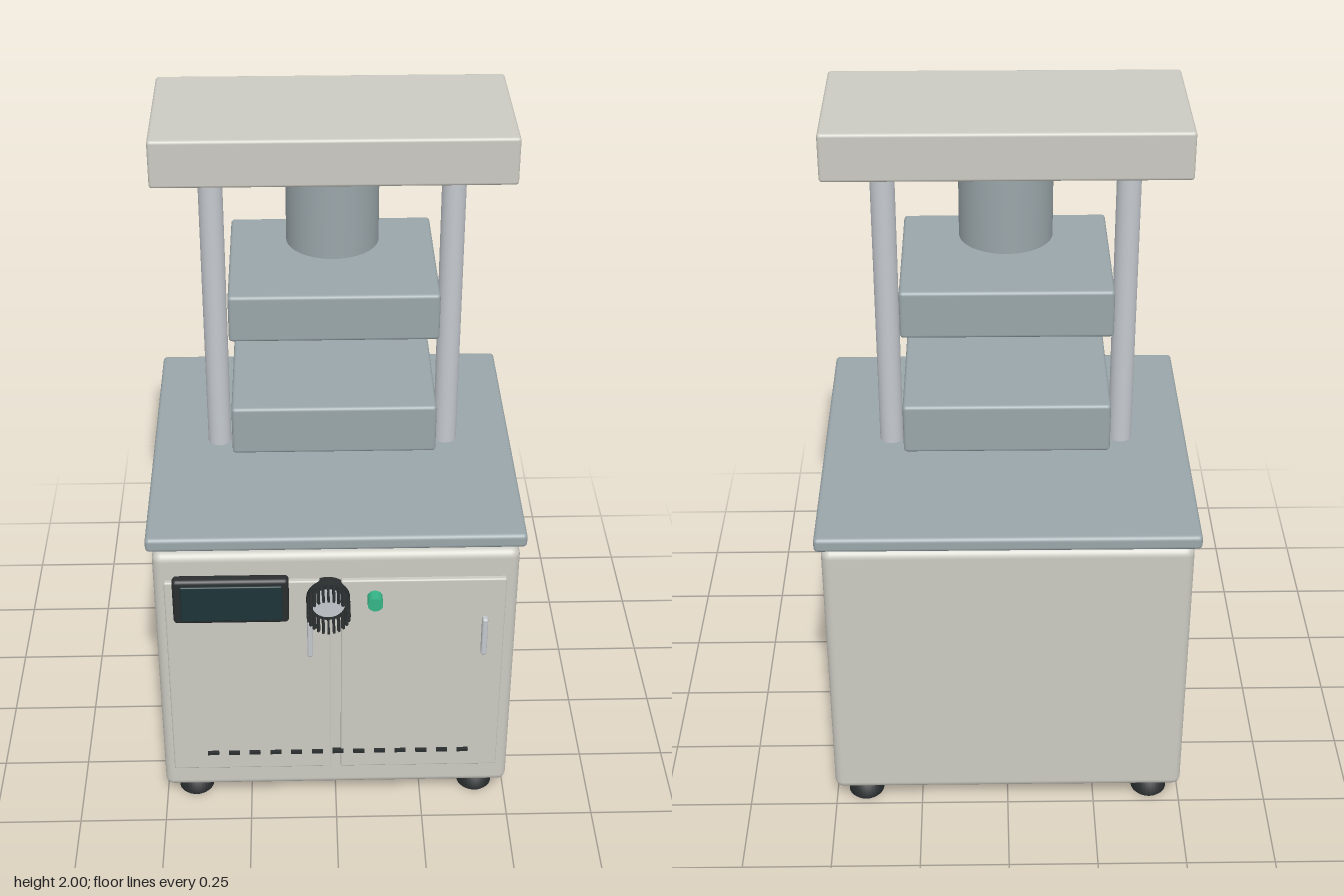
import * as THREE from 'three';
import { RoundedBoxGeometry } from 'three/addons/geometries/RoundedBoxGeometry.js';

const mat = (color) => new THREE.MeshStandardMaterial({ color });

export function createModel() {
  const group = new THREE.Group();
  const cream = mat(0xcbcac2), steel = mat(0x9aa6aa), chrome = mat(0xc4c9ce);
  const dark = mat(0x2a2e2f), glass = mat(0x1d3338), green = mat(0x35b588);

  const add = (name, geometry, material, x, y, z) => {
    const mesh = new THREE.Mesh(geometry, material);
    mesh.name = name;
    mesh.position.set(x, y, z);
    group.add(mesh);
    return mesh;
  };
  // Rounded box given by its limits on each axis
  const block = (name, material, [x0, x1], [y0, y1], [z0, z1], r) =>
    add(name, new RoundedBoxGeometry(x1 - x0, y1 - y0, z1 - z0, 3, r), material,
      (x0 + x1) / 2, (y0 + y1) / 2, (z0 + z1) / 2);
  // Upright cylinder from y0 to y1
  const column = (name, material, r, x, y0, y1, z) =>
    add(name, new THREE.CylinderGeometry(r, r, y1 - y0, 40), material, x, (y0 + y1) / 2, z);
  // Cylinder along z from z0 to z1
  const disc = (name, material, r, x, y, z0, z1) => {
    const mesh = add(name, new THREE.CylinderGeometry(r, r, z1 - z0, 40), material, x, y, (z0 + z1) / 2);
    mesh.rotation.x = Math.PI / 2;
    return mesh;
  };

  // Cabinet and worktop
  block('cabinet', cream, [-0.5, 0.5], [0.07, 0.915], [-0.515, 0.435], 0.025);
  block('worktop', steel, [-0.515, 0.515], [0.928, 0.97], [-0.535, 0.44], 0.012);

  // Feet, with a softened lower edge
  const footProfile = [[0, 0], [0.046, 0], [0.051, 0.006], [0.051, 0.075], [0, 0.075]]
    .map(([x, y]) => new THREE.Vector2(x, y));
  for (const x of [-0.415, 0.415])
    for (const z of [-0.435, 0.35])
      add('foot', new THREE.LatheGeometry(footProfile, 32), dark, x, 0, z);

  // Doors and handles
  for (const [x0, x1, handleX] of [[-0.47, -0.016, -0.073], [0.013, 0.465, 0.41]]) {
    block('door', cream, [x0, x1], [0.153, 0.832], [0.425, 0.449], 0.005);
    block('doorHandle', chrome, [handleX - 0.008, handleX + 0.008], [0.58, 0.705], [0.44, 0.468], 0.006);
  }

  // Row of vent slots
  for (let i = 0; i < 13; i++)
    add('ventSlot', new THREE.BoxGeometry(0.032, 0.009, 0.014), dark, -0.355 + i * 0.06, 0.217, 0.451);

  // Display
  block('displayHousing', dark, [-0.447, -0.13], [0.705, 0.852], [0.435, 0.47], 0.012);
  block('displayScreen', glass, [-0.425, -0.148], [0.72, 0.836], [0.46, 0.476], 0.004);

  // Control dial with a ring of grip ribs and a pointer
  const dialX = -0.023, dialY = 0.777;
  disc('dialBase', dark, 0.06, dialX, dialY, 0.435, 0.472);
  disc('dialFace', chrome, 0.046, dialX, dialY, 0.465, 0.478);
  const ribs = 24;
  for (let i = 0; i < ribs; i++) {
    const a = (i / ribs) * Math.PI * 2;
    const rib = add('dialRib', new THREE.BoxGeometry(0.009, 0.006, 0.075), dark,
      dialX + Math.cos(a) * 0.055, dialY + Math.sin(a) * 0.055, 0.4975);
    rib.rotation.z = a;
  }
  add('dialPointer', new THREE.BoxGeometry(0.006, 0.026, 0.004), dark, dialX, dialY + 0.028, 0.479);

  // Start button
  disc('startButton', green, 0.021, 0.105, dialY, 0.446, 0.487);

  // Press frame: guide posts and crosshead
  for (const x of [-0.325, 0.325])
    column('guidePost', chrome, 0.033, x, 0.978, 1.875, -0.042);
  block('crosshead', cream, [-0.47, 0.47], [1.87, 2], [-0.265, 0.168], 0.009);

  // Ram and heated platens
  column('ram', steel, 0.125, 0, 1.622, 1.875, -0.044);
  for (const [name, y0, y1] of [['upperPlaten', 1.432, 1.567], ['lowerPlaten', 1.078, 1.222]])
    block(name, steel, [-0.28, 0.28], [y0, y1], [-0.28, 0.188], 0.01);

  return group;
}
